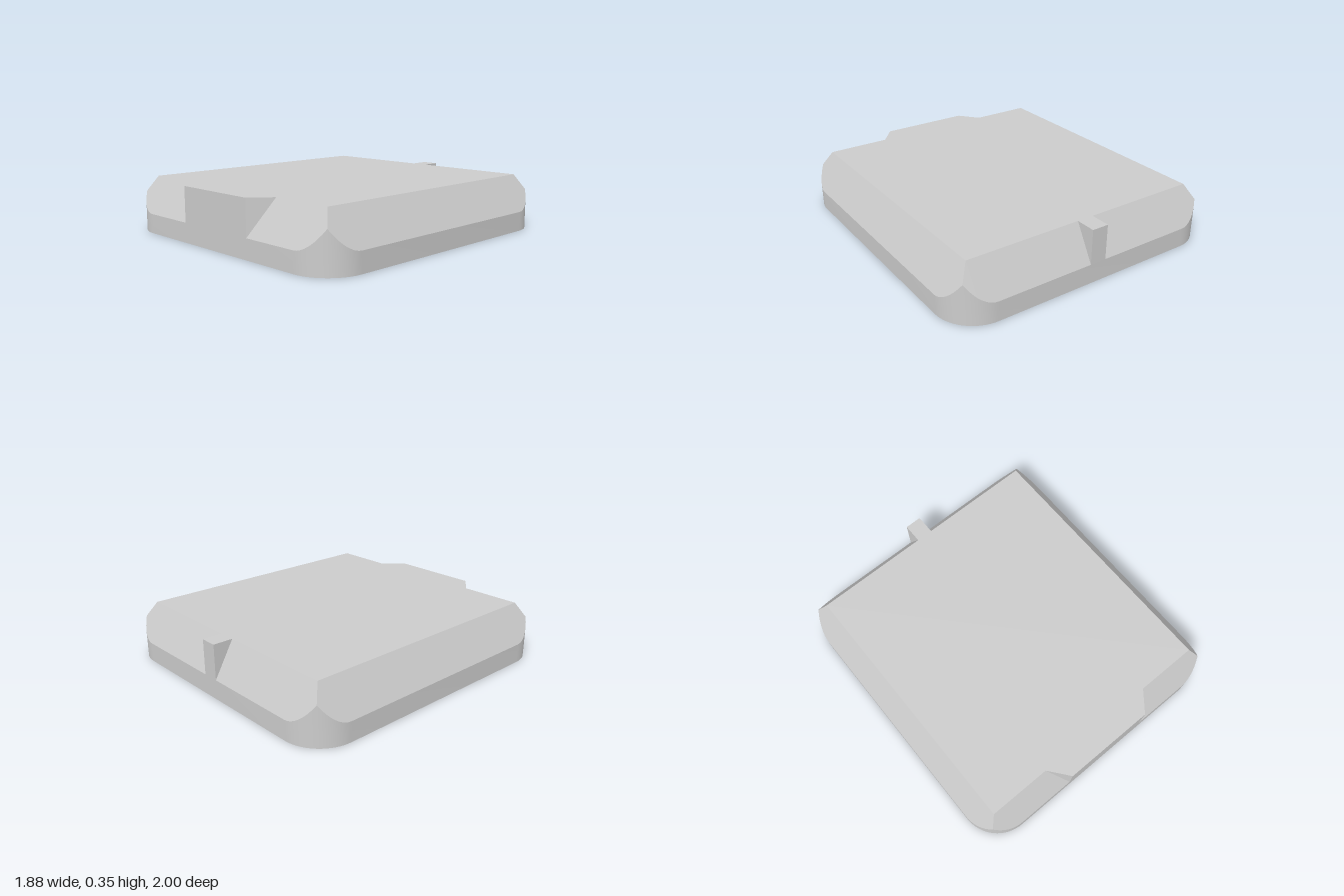
import * as THREE from 'three';
import { toCreasedNormals } from 'three/addons/utils/BufferGeometryUtils.js';

const HX = 0.94, HZ = 1, R = 0.25;            // half sizes and corner radius
const WALL = 0.126, TOP = 0.352, INSET = 0.13; // chamfer start, top height, chamfer width
const HOLE_R = 0.75, HOLE_DEPTH = 0.175;
const CORNER_STEPS = 16;

const material = new THREE.MeshStandardMaterial({ color: 0xcccccc });

function addPart(group, name, geometry) {
  const mesh = new THREE.Mesh(toCreasedNormals(geometry, 0.4), material);
  mesh.name = name;
  group.add(mesh);
}

// Rounded outline, each point with the top corner its chamfer runs to
function outline() {
  const points = [];
  [[1, 1], [-1, 1], [-1, -1], [1, -1]].forEach(([sx, sz], q) => {
    for (let i = 0; i <= CORNER_STEPS; i++) {
      const a = (q + i / CORNER_STEPS) * Math.PI / 2;
      const x = sx * (HX - R) + R * Math.cos(a), z = sz * (HZ - R) + R * Math.sin(a);
      const gap = Math.min(HX - Math.abs(x), HZ - Math.abs(z));
      points.push({ x, z, h: WALL + gap * (TOP - WALL) / INSET, cx: sx * (HX - INSET), cz: sz * (HZ - INSET) });
    }
  });
  return points;
}

// Walls, sloping chamfers and flat top
function shellGeometry(points) {
  const pos = [];
  const tri = (...corners) => corners.forEach((c) => pos.push(...c));
  points.forEach((p, i) => {
    const n = points[(i + 1) % points.length];
    const a = [p.x, 0, p.z], b = [p.x, p.h, p.z], c = [p.cx, TOP, p.cz];
    const a2 = [n.x, 0, n.z], b2 = [n.x, n.h, n.z], c2 = [n.cx, TOP, n.cz];
    tri(a, b, b2);
    tri(a, b2, a2);
    tri(b, c, b2);
    if (p.cx !== n.cx || p.cz !== n.cz) {
      tri(c, c2, b2);
      tri([0, TOP, 0], c2, c);
    }
  });
  const geometry = new THREE.BufferGeometry();
  geometry.setAttribute('position', new THREE.Float32BufferAttribute(pos, 3));
  return geometry;
}

// Underside plate with the round opening
function undersideGeometry(points) {
  const shape = new THREE.Shape(points.map((p) => new THREE.Vector2(p.x, p.z)));
  shape.holes.push(new THREE.Path().absarc(0, 0, HOLE_R, 0, Math.PI * 2, true));
  return new THREE.ShapeGeometry(shape, 32).rotateX(Math.PI / 2);
}

// Upright block filling the chamfer, from a plan in x and z
function tabGeometry(plan) {
  const shape = new THREE.Shape(plan.map(([x, z]) => new THREE.Vector2(x, z)));
  return new THREE.ExtrudeGeometry(shape, { depth: TOP - WALL, bevelEnabled: false })
    .rotateX(Math.PI / 2).translate(0, TOP, 0);
}

export function createModel() {
  const group = new THREE.Group();
  group.name = 'chamferedBase';
  const points = outline();
  addPart(group, 'bodyShell', shellGeometry(points));
  addPart(group, 'underside', undersideGeometry(points));

  // Round blind recess
  const profile = [[0, HOLE_DEPTH], [HOLE_R, HOLE_DEPTH], [HOLE_R, 0]].map(([x, y]) => new THREE.Vector2(x, y));
  addPart(group, 'roundRecess', new THREE.LatheGeometry(profile, 64));

  // Flared front block and narrow rear rib
  const inner = HZ - INSET;
  addPart(group, 'frontBlock', tabGeometry([[-0.405, inner], [0.405, inner], [0.3, HZ], [-0.3, HZ]]));
  addPart(group, 'rearRib', tabGeometry([[-0.055, -HZ], [0.055, -HZ], [0.055, -inner], [-0.055, -inner]]));
  return group;
}
